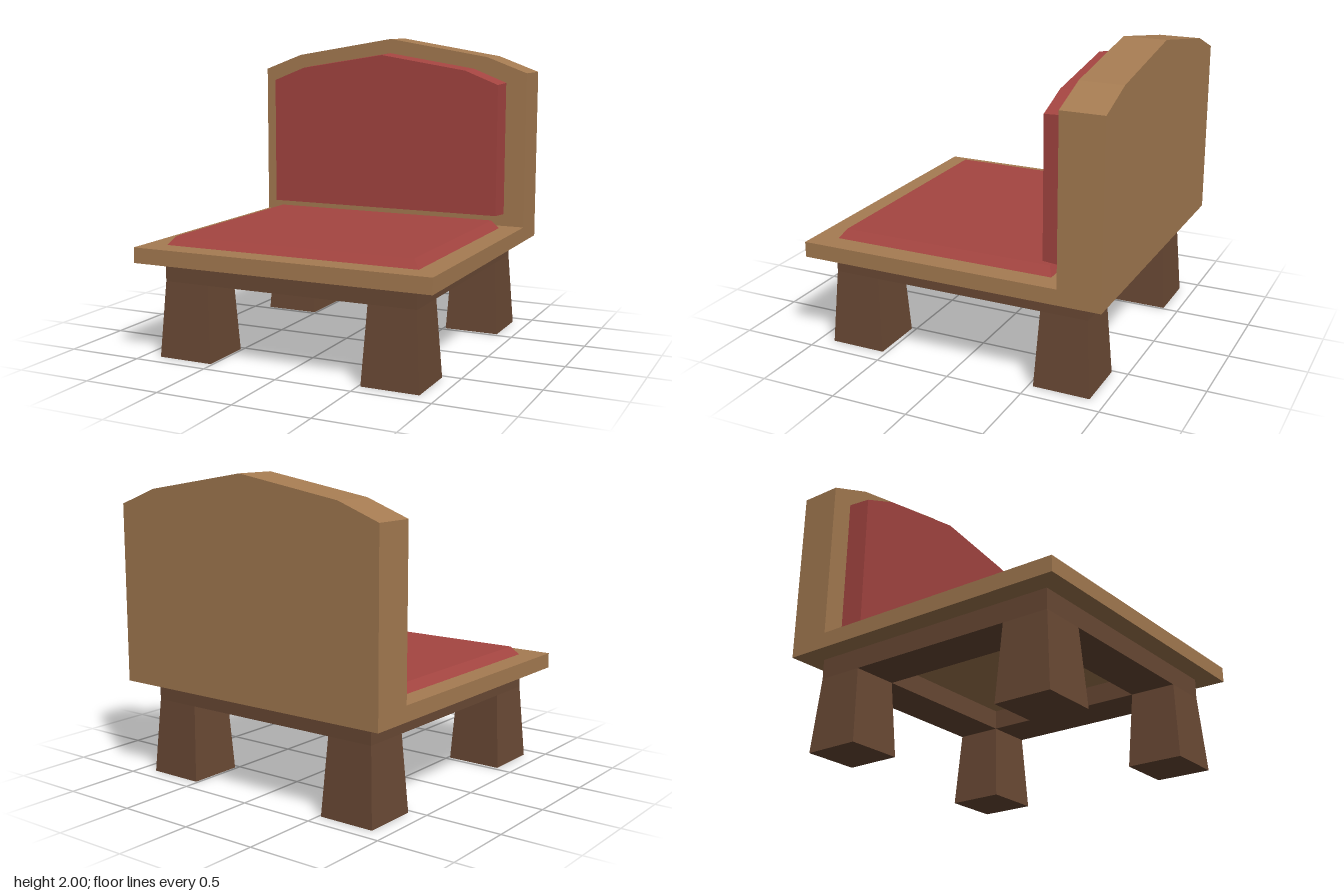
import * as THREE from 'three';

const material = (color) => new THREE.MeshStandardMaterial({ color, flatShading: true });

// Solid between two matching convex rings, counter-clockwise seen from the end ring's side
function loft(start, end) {
  const n = start.length, pos = [];
  const tri = (...pts) => pts.forEach((p) => pos.push(...p));
  for (let i = 0; i < n; i++) {
    const j = (i + 1) % n;
    tri(start[i], start[j], end[j]);
    tri(start[i], end[j], end[i]);
  }
  for (let i = 1; i < n - 1; i++) {
    tri(end[0], end[i], end[i + 1]);
    tri(start[0], start[i + 1], start[i]);
  }
  const geometry = new THREE.BufferGeometry();
  geometry.setAttribute('position', new THREE.Float32BufferAttribute(pos, 3));
  geometry.computeVertexNormals();
  return geometry;
}

// Horizontal rectangle ring at height y
const rect = (x0, x1, z0, z1, y) => [[x0, y, z1], [x1, y, z1], [x1, y, z0], [x0, y, z0]];

// Outline with an arched, faceted top: half width, base, shoulder, knee and peak
const arch = (w, base, shoulder, kneeX, kneeY, peak) => [
  [-w, base], [w, base], [w, shoulder], [kneeX, kneeY], [0, peak], [-kneeX, kneeY], [-w, shoulder],
];
const atZ = (outline, z) => outline.map(([x, y]) => [x, y, z]);

export function createModel() {
  const group = new THREE.Group();
  const wood = material(0xa67c52), darkWood = material(0x6b4a35), red = material(0xa54541);

  const add = (name, geometry, mat) => {
    const mesh = new THREE.Mesh(geometry, mat);
    mesh.name = name;
    group.add(mesh);
    return mesh;
  };

  // Seat board, running forward from the backrest
  add('seatBoard', new THREE.BoxGeometry(2, 0.1, 1.725), wood).position.set(0, 0.67, 0.1375);

  // Backrest with arched top
  const back = arch(1, 0.62, 1.775, 0.72, 1.88, 2);
  add('backrest', loft(atZ(back, -1), atZ(back, -0.725)), wood);

  // Bevelled seat cushion
  add('seatCushion', loft(
    rect(-0.855, 0.855, -0.63, 0.845, 0.72),
    rect(-0.81, 0.81, -0.6, 0.805, 0.775),
  ), red);

  // Back cushion, tapering slightly towards the front
  add('backCushion', loft(
    atZ(arch(0.857, 0.803, 1.708, 0.625, 1.8, 1.9), -0.725),
    atZ(arch(0.848, 0.812, 1.7, 0.615, 1.792, 1.89), -0.57),
  ), red);

  // Apron frame under the seat
  const frame = new THREE.Shape([
    [-0.855, -0.865], [0.855, -0.865], [0.855, 0.865], [-0.855, 0.865],
  ].map((p) => new THREE.Vector2(...p)));
  frame.holes.push(new THREE.Path([
    [-0.545, -0.56], [-0.545, 0.56], [0.545, 0.56], [0.545, -0.56],
  ].map((p) => new THREE.Vector2(...p))));
  const apron = new THREE.ExtrudeGeometry(frame, { depth: 0.13, bevelEnabled: false });
  apron.rotateX(-Math.PI / 2);
  add('apron', apron, darkWood).position.y = 0.49;

  // Four legs, flaring towards the floor
  for (const sx of [-1, 1]) {
    for (const sz of [-1, 1]) {
      const span = (s, a, b) => (s > 0 ? [a, b] : [-b, -a]);
      const leg = loft(
        rect(...span(sx, 0.515, 0.887), ...span(sz, 0.53, 0.898), 0),
        rect(...span(sx, 0.545, 0.855), ...span(sz, 0.56, 0.865), 0.49),
      );
      add(`${sz > 0 ? 'front' : 'back'}${sx > 0 ? 'Left' : 'Right'}Leg`, leg, darkWood);
    }
  }

  return group;
}
